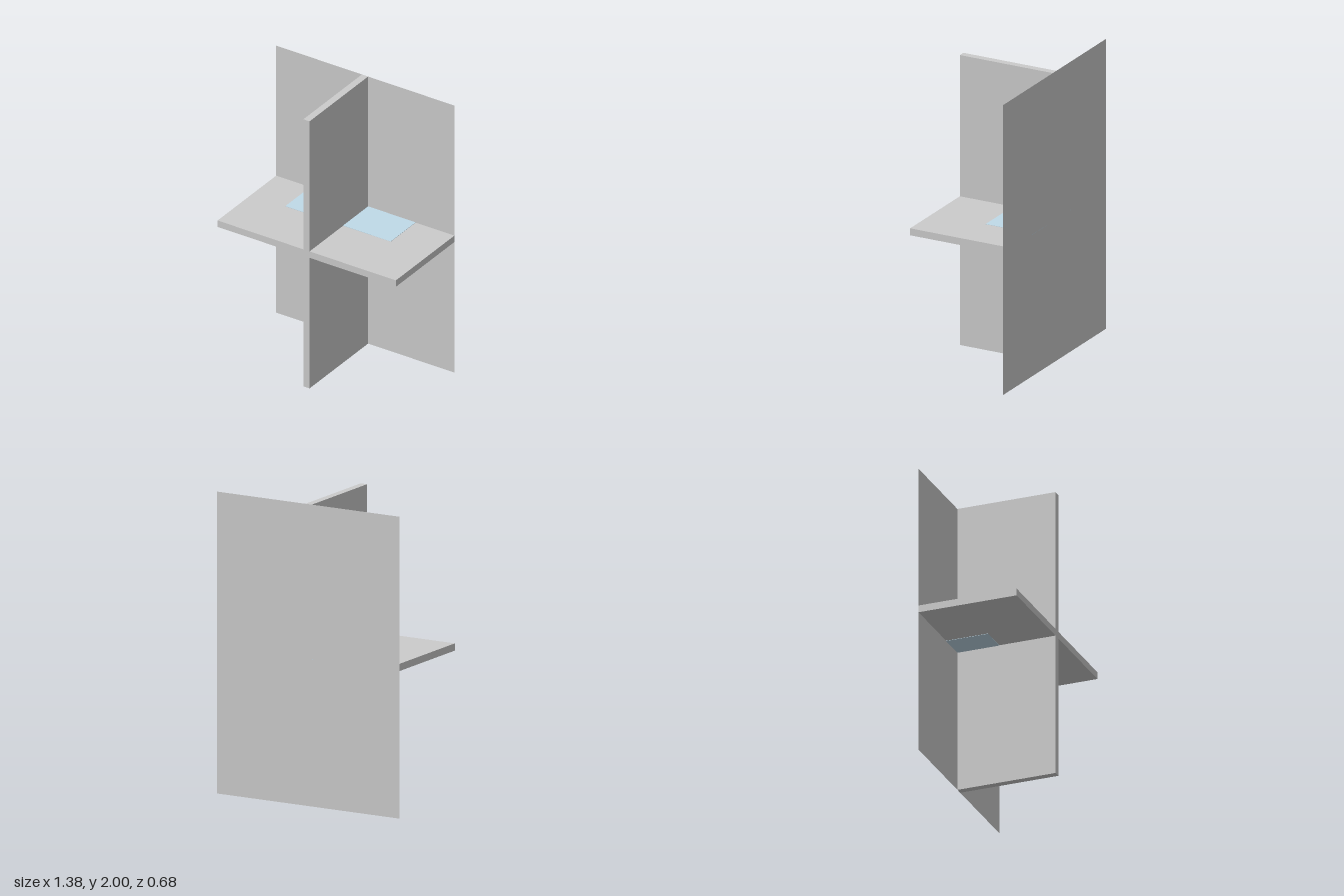
import * as THREE from 'three';

const W = 1.38, H = 2, D = 0.684, T = 0.048;

export function createModel() {
  const group = new THREE.Group();
  const grey = new THREE.MeshStandardMaterial({ color: 0xcccccc });
  const blue = new THREE.MeshStandardMaterial({ color: 0xc0dae8 });

  // Box given by its lower and upper corners
  const box = (name, [x0, y0, z0], [x1, y1, z1], material) => {
    const mesh = new THREE.Mesh(new THREE.BoxGeometry(x1 - x0, y1 - y0, z1 - z0), material);
    mesh.position.set((x0 + x1) / 2, (y0 + y1) / 2, (z0 + z1) / 2);
    mesh.name = name;
    group.add(mesh);
  };

  // Paper-thin back sheet
  const back = new THREE.Mesh(
    new THREE.PlaneGeometry(W, H),
    new THREE.MeshStandardMaterial({ color: 0xcccccc, side: THREE.DoubleSide }));
  back.position.set(0, H / 2, -D / 2);
  back.name = 'backPanel';
  group.add(back);

  // Upright divider and the shelf halves on each side of it
  const left = 0.022, right = left - T;
  const top = 1.026, bottom = top - T;
  box('divider', [right, 0, -D / 2], [left, H, D / 2], grey);
  box('leftShelf', [left, bottom, -D / 2], [W / 2, top, D / 2], grey);
  box('rightShelf', [-W / 2, bottom, -D / 2], [right, top, D / 2], grey);

  // Thin tinted pads at the back of the shelf, above and below, split by the divider
  const pads = [
    ['upper', -0.425, 0.39, top, top + 0.002],
    ['lower', -0.22, 0.3, bottom - 0.002, bottom],
  ];
  for (const [name, x0, x1, y0, y1] of pads) {
    box(name + 'RightPad', [x0, y0, -D / 2], [right, y1, -0.05], blue);
    box(name + 'LeftPad', [left, y0, -D / 2], [x1, y1, -0.05], blue);
  }
  return group;
}
